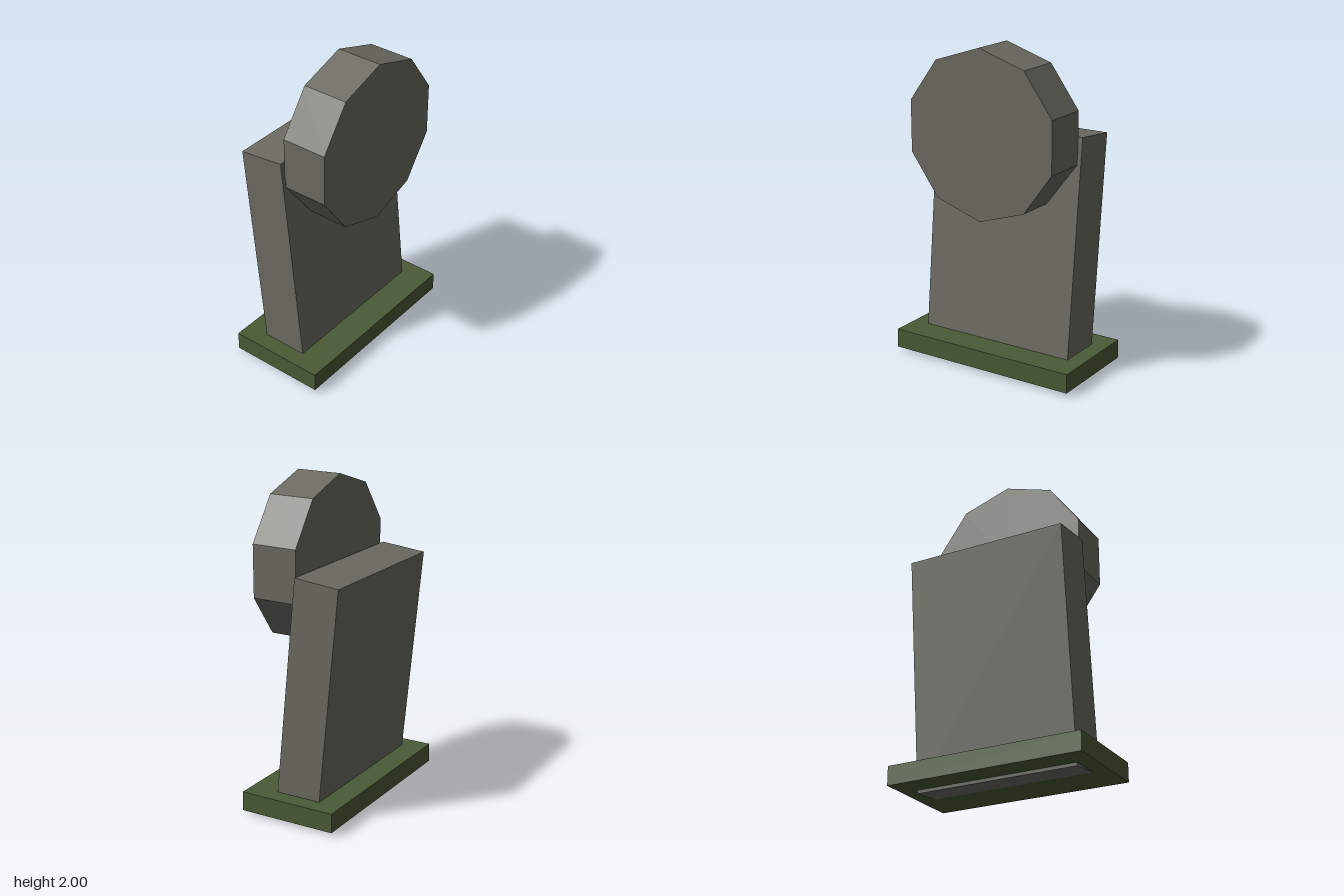
import * as THREE from 'three';

export function createModel() {
  const model = new THREE.Group();
  const stone = new THREE.MeshStandardMaterial({ color: 0x6b6b62, flatShading: true });
  stone.name = 'grey stone';
  const moss = new THREE.MeshStandardMaterial({ color: 0x4a5a35, flatShading: true });
  moss.name = 'moss green';

  const add = (name, geometry, material, x, y, z) => {
    const mesh = new THREE.Mesh(geometry, material);
    mesh.name = name;
    mesh.position.set(x, y, z);
    model.add(mesh);
    return mesh;
  };

  // Mossy plinth
  add('base', new THREE.BoxGeometry(1.25, 0.12, 0.62), moss, 0, 0.08, 0);

  // Slab leaning backwards, its foot poking through the plinth
  const slab = add('slab', new THREE.BoxGeometry(1.04, 1.463, 0.29), stone, 0, 0.7425, -0.078);
  slab.rotation.x = -0.1;

  // Ten-sided rounded head, standing upright in front of the slab's top
  const head = add('head', new THREE.CylinderGeometry(0.52, 0.52, 0.29, 10), stone, 0, 1.48, 0.145);
  head.rotation.x = Math.PI / 2;

  return model;
}
